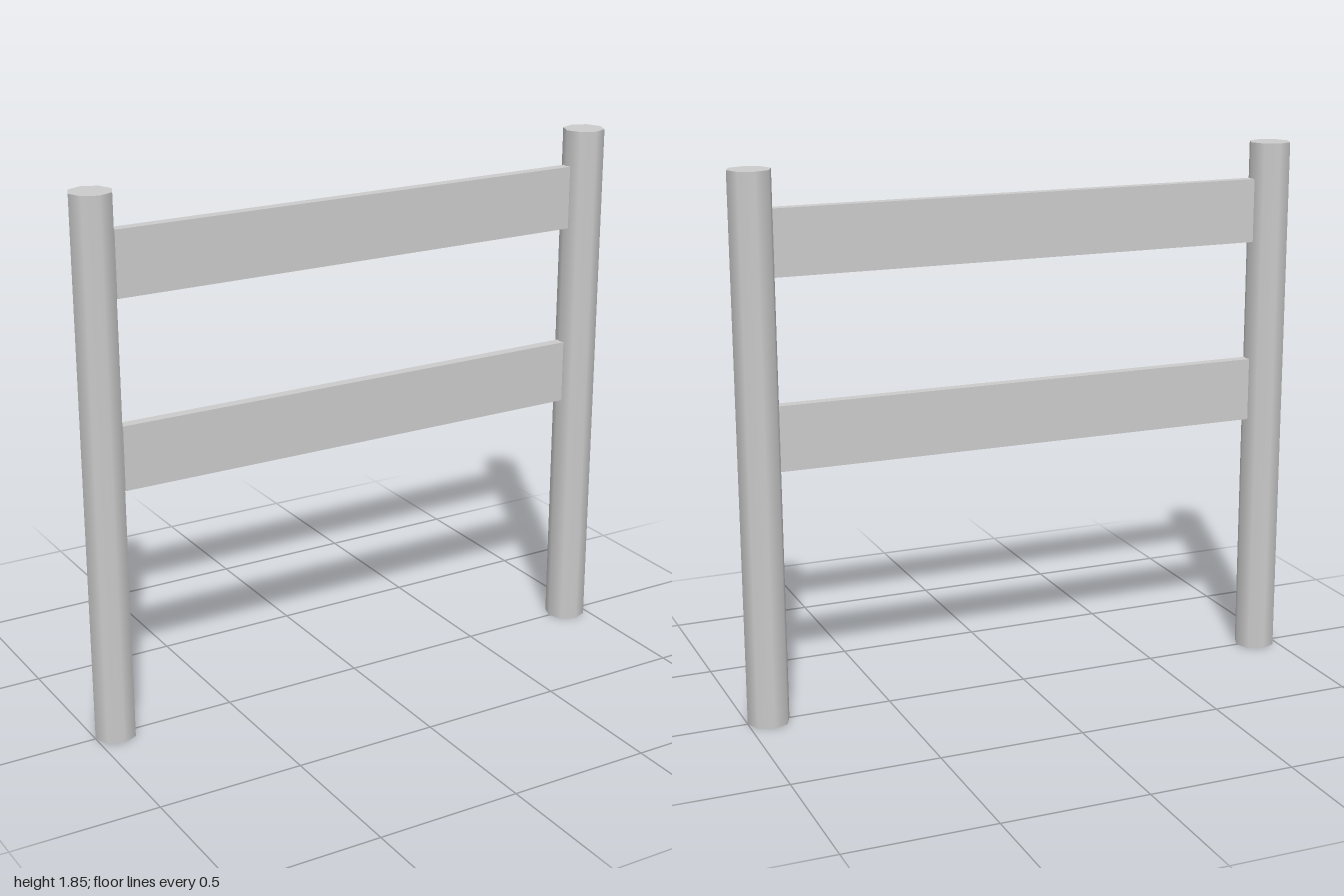
import * as THREE from 'three';

const POST_RADIUS = 0.072, POST_HEIGHT = 1.85, SIDES = 8;
const RAIL_LENGTH = 1.722, RAIL_HEIGHT = 0.22, RAIL_DEPTH = 0.038;

const material = new THREE.MeshStandardMaterial({ color: 0xcccccc });
const openMaterial = new THREE.MeshStandardMaterial({ color: 0xcccccc, side: THREE.DoubleSide });

// Eight-sided post with a flat top and an open foot
function createPost(name, x) {
  const post = new THREE.Group();
  post.name = name;
  const shaft = new THREE.Mesh(
    new THREE.CylinderGeometry(POST_RADIUS, POST_RADIUS, POST_HEIGHT, SIDES, 1, true), openMaterial);
  shaft.name = name + 'Shaft';
  shaft.position.y = POST_HEIGHT / 2;
  const cap = new THREE.Mesh(new THREE.CircleGeometry(POST_RADIUS, SIDES), openMaterial);
  cap.name = name + 'Top';
  cap.rotation.x = -Math.PI / 2;
  cap.position.y = POST_HEIGHT;
  post.add(shaft, cap);
  post.position.x = x;
  return post;
}

// Flat board spanning the posts
function createRail(name, y) {
  const rail = new THREE.Mesh(new THREE.BoxGeometry(RAIL_LENGTH, RAIL_HEIGHT, RAIL_DEPTH), material);
  rail.name = name;
  rail.position.y = y;
  return rail;
}

export function createModel() {
  const fence = new THREE.Group();
  fence.name = 'fenceSection';
  const postX = 1 - POST_RADIUS;
  fence.add(
    createPost('leftPost', postX),
    createPost('rightPost', -postX),
    createRail('upperRail', 1.615),
    createRail('lowerRail', 0.976));
  return fence;
}
